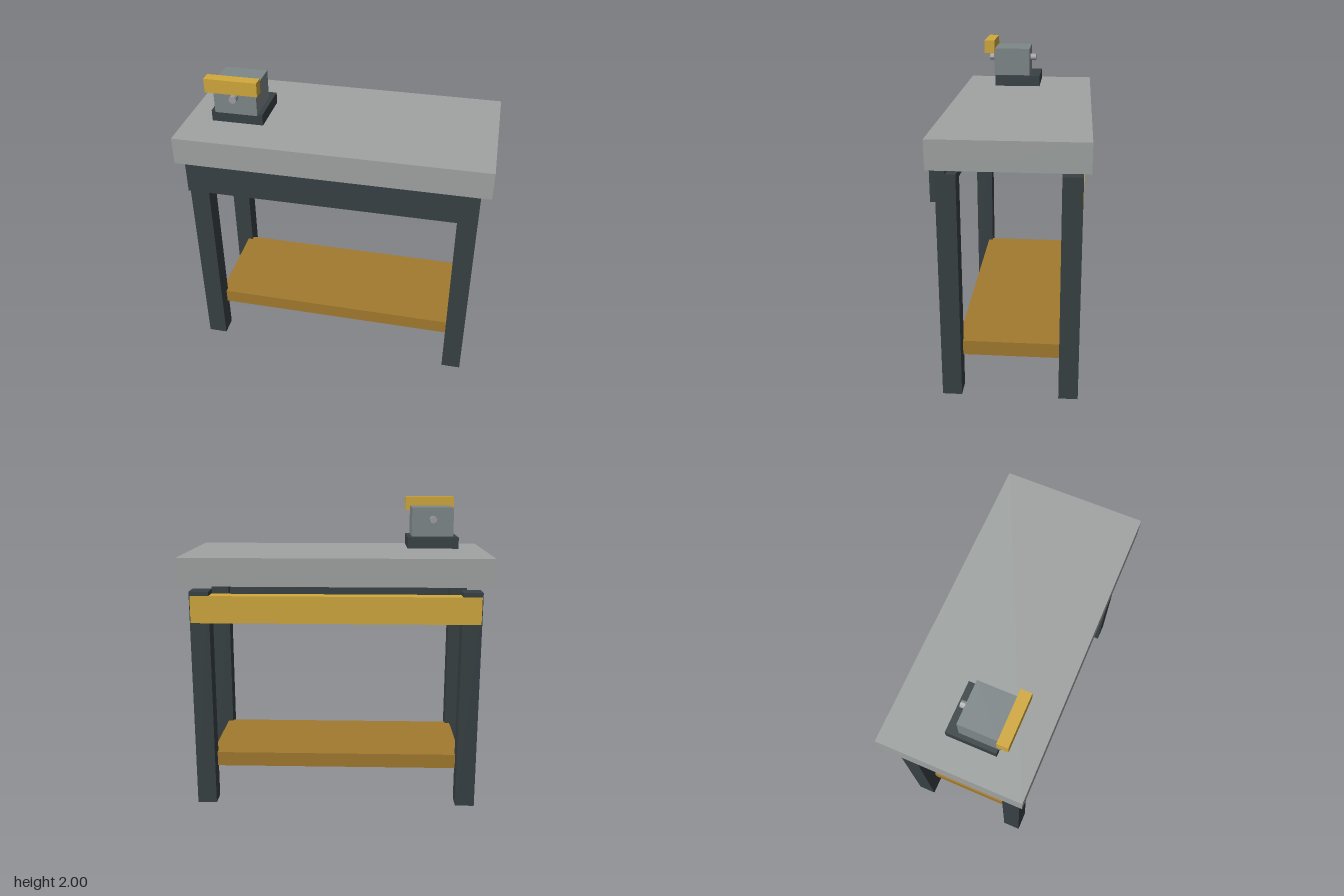
import * as THREE from 'three';

export function createModel() {
  const model = new THREE.Group();
  model.name = 'workbench';

  const mat = (color) => new THREE.MeshStandardMaterial({ color, flatShading: true });
  const stone = mat(0xa0a4a2);
  const darkSteel = mat(0x384144);
  const castIron = mat(0x7f888a);
  const brightSteel = mat(0xa0a0a2);
  const yellow = mat(0xd2a93c);
  const wood = mat(0xa27a2e);

  // Box given by its [min, max] range on each axis
  function box(name, material, [x0, x1], [y0, y1], [z0, z1], parent = model) {
    const mesh = new THREE.Mesh(new THREE.BoxGeometry(x1 - x0, y1 - y0, z1 - z0), material);
    mesh.position.set((x0 + x1) / 2, (y0 + y1) / 2, (z0 + z1) / 2);
    mesh.name = name;
    parent.add(mesh);
    return mesh;
  }

  // Worktop and front apron
  box('worktop', stone, [-0.988, 0.988], [1.477, 1.655], [-0.463, 0.463]);
  box('frontApron', darkSteel, [-0.925, 0.925], [1.27, 1.477], [0.36, 0.45]);

  // Four square legs
  for (const sx of [-1, 1]) {
    for (const sz of [-1, 1]) {
      const leg = box('leg', darkSteel, [-0.0625, 0.0625], [0, 1.437], [-0.06, 0.06]);
      leg.position.x = sx * 0.8625;
      leg.position.z = sz * 0.36;
    }
  }

  // Back rail, a hair proud of the legs, and lower shelf let into the legs
  box('backRail', yellow, [-0.92, 0.92], [1.235, 1.41], [-0.422, -0.33]);
  box('shelf', wood, [-0.833, 0.833], [0.23, 0.325], [-0.33, 0.33]);

  // Bench vise
  const vise = new THREE.Group();
  vise.name = 'vise';
  model.add(vise);
  box('viseBase', darkSteel, [-0.8, -0.467], [1.677, 1.75], [-0.095, 0.225], vise);
  box('viseBody', castIron, [-0.772, -0.497], [1.745, 1.94], [-0.02, 0.235], vise);
  box('viseJaw', yellow, [-0.8, -0.467], [1.91, 2], [0.23, 0.3], vise);

  // Screw running through the body
  const screw = new THREE.Mesh(new THREE.CylinderGeometry(0.024, 0.024, 0.338, 12), brightSteel);
  screw.name = 'viseScrew';
  screw.rotation.x = Math.PI / 2;
  screw.position.set(-0.635, 1.862, 0.109);
  vise.add(screw);

  return model;
}
